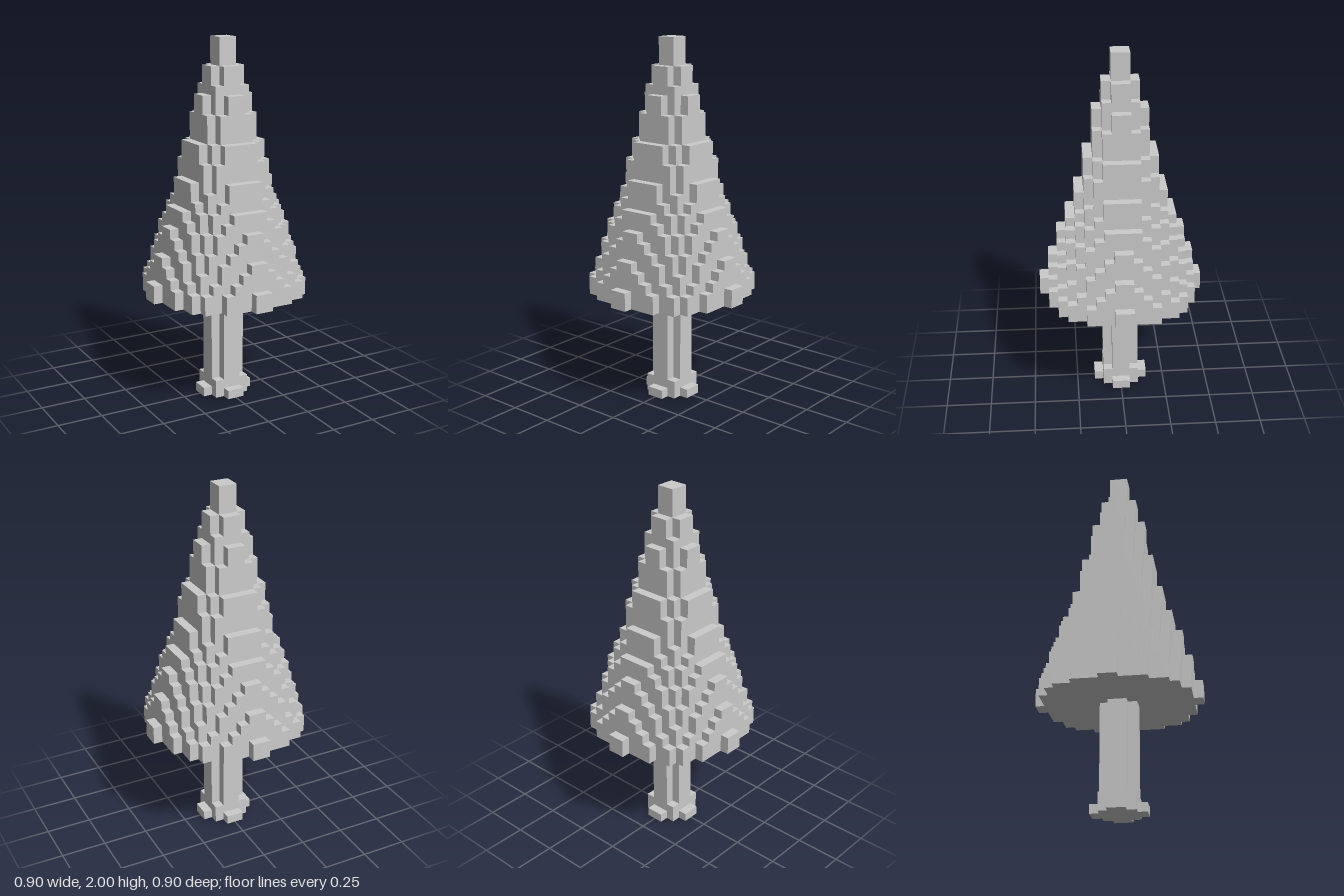
import * as THREE from 'three';

const V = 0.05;          // block size
const TRUNK_LAYERS = 12; // blocks below the foliage
const LAYERS = 40;

// [layer, radius in blocks]; radii between the keys are interpolated
const KEYS = [
  [0, 2.6], [1, 2.2], [2, 1.6], [11, 1.6],                        // root flare and trunk
  [12, 8.6], [13, 8.53], [16, 7.56], [19, 6.56], [21, 5.8],       // lower foliage
  [24, 4.76], [25, 4.5], [26, 4.32], [28, 3.82], [29, 3.5],       // middle
  [31, 2.94], [33, 2.57], [34, 2.2], [36, 1.6], [37, 1.3], [39, 0.75], // tip
];

function radius(layer) {
  const n = KEYS.findIndex(([l]) => l >= layer);
  const [l1, r1] = KEYS[n];
  if (l1 === layer) return r1;
  const [l0, r0] = KEYS[n - 1];
  return r0 + (r1 - r0) * (layer - l0) / (l1 - l0);
}

// A block is solid when its centre lies within the disc of its layer
function solid(i, j, k) {
  return j >= 0 && j < LAYERS && Math.hypot(i + 0.5, k + 0.5) <= radius(j);
}

// Shell of the exposed block faces between two layers
function blockShell(name, from, to) {
  const pos = [], nor = [], idx = [];
  for (let j = from; j < to; j++)
    for (let i = -9; i < 9; i++)
      for (let k = -9; k < 9; k++) {
        if (!solid(i, j, k)) continue;
        for (let axis = 0; axis < 3; axis++)
          for (const s of [-1, 1]) {
            const n = [0, 0, 0];
            n[axis] = s;
            if (solid(i + n[0], j + n[1], k + n[2])) continue;
            const u = (axis + 1) % 3, w = (axis + 2) % 3, base = pos.length / 3;
            for (const [a, b] of [[-1, -1], [1, -1], [1, 1], [-1, 1]]) {
              const c = [i + 0.5, j + 0.5, k + 0.5];
              c[axis] += s / 2;
              c[u] += a * s / 2; // mirrored on negative sides to keep the winding outward
              c[w] += b / 2;
              pos.push(c[0] * V, c[1] * V, c[2] * V);
              nor.push(...n);
            }
            idx.push(base, base + 1, base + 2, base, base + 2, base + 3);
          }
      }
  const geo = new THREE.BufferGeometry();
  geo.setAttribute('position', new THREE.Float32BufferAttribute(pos, 3));
  geo.setAttribute('normal', new THREE.Float32BufferAttribute(nor, 3));
  geo.setIndex(idx);
  const mesh = new THREE.Mesh(geo, new THREE.MeshStandardMaterial({ color: 0xcccccc, flatShading: true }));
  mesh.name = name;
  return mesh;
}

export function createModel() {
  const tree = new THREE.Group();
  tree.name = 'tree';
  tree.add(blockShell('trunk', 0, TRUNK_LAYERS));
  tree.add(blockShell('foliage', TRUNK_LAYERS, LAYERS));
  return tree;
}
